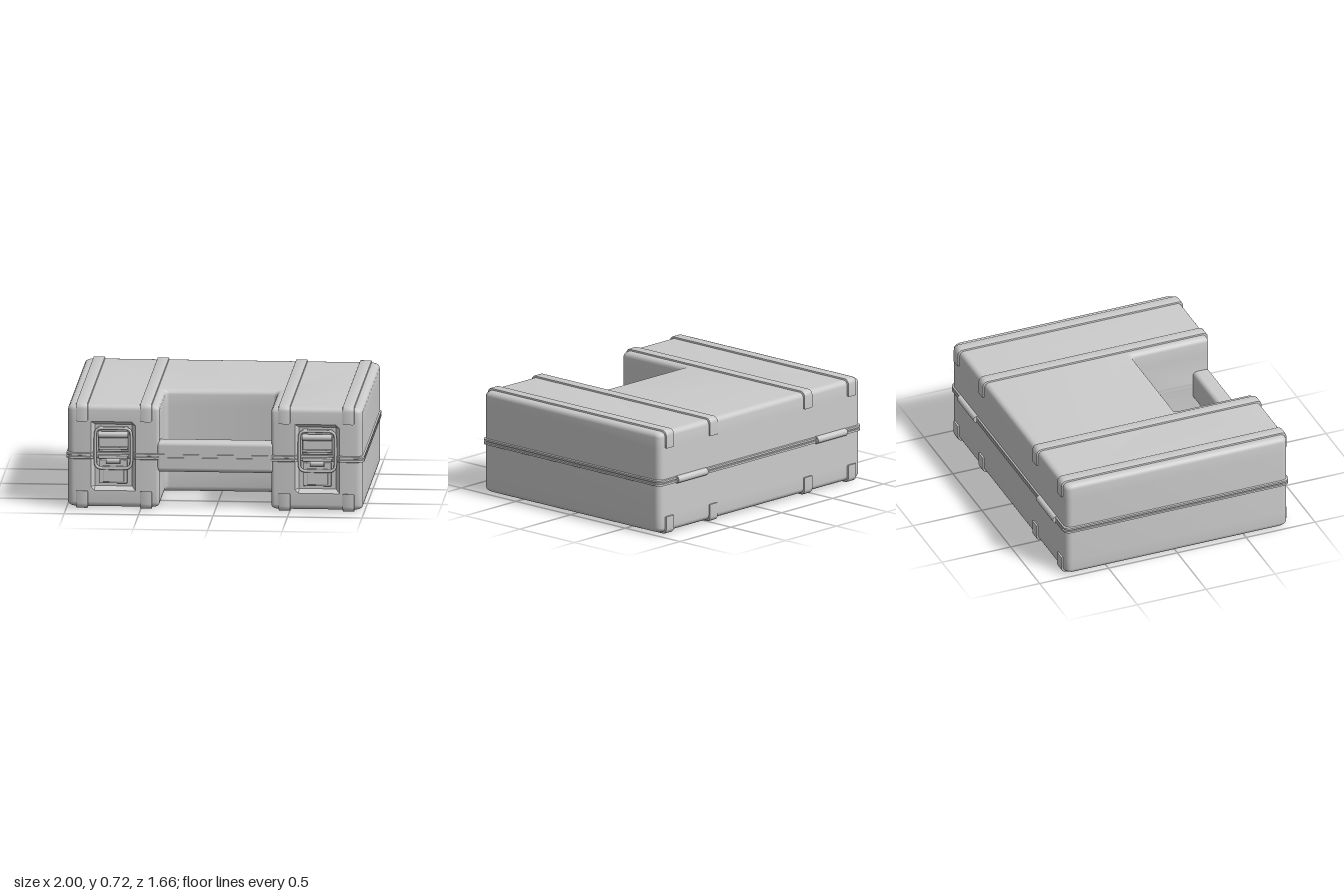
import * as THREE from 'three';
import { toCreasedNormals } from 'three/addons/utils/BufferGeometryUtils.js';
import { RoundedBoxGeometry } from 'three/addons/geometries/RoundedBoxGeometry.js';

const H = 0.72, FRONT = 0.81, BACK = -0.803, SIDE = 0.99, NOTCH = 0.375, NOTCH_BACK = 0.245;
const LATCH_X = 0.685, FLOOR_Z = 0.77;
const grey = new THREE.MeshStandardMaterial({ color: 0xcccccc });

function add(parent, name, geometry, x = 0, y = 0, z = 0) {
  const mesh = new THREE.Mesh(geometry, grey);
  mesh.name = name;
  mesh.position.set(x, y, z);
  parent.add(mesh);
  return mesh;
}

function arc(cx, cz, r, from, to, n = 5) {
  const pts = [];
  for (let i = 0; i <= n; i++) {
    const a = THREE.MathUtils.degToRad(from + (to - from) * i / n);
    pts.push([cx + r * Math.cos(a), cz + r * Math.sin(a)]);
  }
  return pts;
}

// U-shaped plan outline (x, z), pulled in by d, with latch recesses of the given depth
function plan(d, recess) {
  const r = 0.045, q = 0.025;
  const R = SIDE - d, F = FRONT - d, B = BACK + d;
  const N = NOTCH + Math.max(d, 0), NB = NOTCH_BACK - Math.max(d, 0);
  const half = [
    ...arc(R - r, B + r, r, -90, 0),
    ...arc(R - r, F - r, r, 0, 90),
    [0.835, F], [0.81, F - recess], [0.56, F - recess], [0.535, F],
    ...arc(N + q, F - q, q, 90, 180),
    ...arc(N - q, NB + q, q, 0, -90),
  ];
  return [...half, ...half.map(([x, z]) => [-x, z]).reverse()];
}

// Skin through the plan outlines at rising heights, closed at both ends
function loft(levels) {
  const rings = levels.map(([y, d, recess]) => plan(d, recess).map(([x, z]) => [x, y, z]));
  const n = rings[0].length, index = [];
  for (let l = 0; l < rings.length - 1; l++) {
    for (let i = 0; i < n; i++) {
      const j = (i + 1) % n, a = l * n + i, b = l * n + j;
      index.push(a, a + n, b + n, a, b + n, b);
    }
  }
  for (const [l, up] of [[0, false], [rings.length - 1, true]]) {
    const flat = rings[l].map(p => new THREE.Vector2(p[0], p[2]));
    for (const [a, b, c] of THREE.ShapeUtils.triangulateShape(flat, [])) {
      const area = THREE.ShapeUtils.area([flat[a], flat[b], flat[c]]);
      const tri = (area < 0) === up ? [a, b, c] : [a, c, b];
      index.push(...tri.map(i => i + l * n));
    }
  }
  const geo = new THREE.BufferGeometry();
  geo.setAttribute('position', new THREE.Float32BufferAttribute(rings.flat(2), 3));
  geo.setIndex(index);
  return toCreasedNormals(geo, 0.6);
}

// Lower half levels: rounded edge, latch recess, raised lip at the seam
function shellLevels() {
  const levels = [], r = 0.035, depth = FRONT - FLOOR_Z;
  for (let k = 0; k <= 5; k++) {
    const t = k / 5 * Math.PI / 2;
    levels.push([0.012 + r * (1 - Math.cos(t)), r * (1 - Math.sin(t)), 0]);
  }
  levels.push([0.125, 0, 0], [0.15, 0, depth], [0.338, 0, depth], [0.342, -0.01, depth],
    [0.355, -0.01, depth], [0.357, -0.002, depth], [0.36, -0.002, depth]);
  return levels;
}

// Rib running over the case and gripping the front and back edges
function ribGeometry(width, top) {
  const b = 0.008, r = 0.03, z0 = BACK - 0.012 + b, z1 = FRONT + 0.012 - b;
  const pts = [[z0, 0.115], ...arc(z0 + r, b + r, r, 180, 270), ...arc(z1 - r, b + r, r, 270, 360), [z1, 0.115]];
  const shape = new THREE.Shape(pts.map(([z, y]) => new THREE.Vector2(z, top ? H - y : y)));
  const geo = new THREE.ExtrudeGeometry(shape, {
    depth: width - 2 * b, bevelEnabled: true, bevelSize: b, bevelThickness: b, bevelSegments: 2,
  });
  geo.translate(0, 0, -width / 2 + b);
  geo.rotateY(-Math.PI / 2);
  return toCreasedNormals(geo, 0.6);
}

function rod(radius, length) {
  return new THREE.CylinderGeometry(radius, radius, length, 20).rotateZ(Math.PI / 2);
}

function createLatch() {
  const latch = new THREE.Group();
  latch.name = 'latch';
  add(latch, 'lowerPlate', new RoundedBoxGeometry(0.19, 0.16, 0.03, 2, 0.006), 0, 0.25, 0.775);
  add(latch, 'lowerPanel', new RoundedBoxGeometry(0.14, 0.11, 0.012, 2, 0.004), 0, 0.235, 0.79);
  add(latch, 'leverShelf', new RoundedBoxGeometry(0.2, 0.025, 0.045, 2, 0.006), 0, 0.352, 0.79);
  add(latch, 'leverRod', rod(0.02, 0.095), 0, 0.328, 0.802);
  add(latch, 'upperPlate', new RoundedBoxGeometry(0.2, 0.17, 0.025, 2, 0.006), 0, 0.47, 0.775);
  add(latch, 'hookRod', rod(0.022, 0.2), 0, 0.505, 0.802);
  add(latch, 'hookLip', new RoundedBoxGeometry(0.2, 0.018, 0.04, 2, 0.005), 0, 0.412, 0.788);
  // Wire bail: rounded rectangular loop
  const w = 0.12, y0 = 0.275, y1 = 0.545, r = 0.035;
  const pts = [
    ...arc(w - r, y1 - r, r, 90, 0, 4), ...arc(w - r, y0 + r, r, 0, -90, 4),
    ...arc(r - w, y0 + r, r, -90, -180, 4), ...arc(r - w, y1 - r, r, 180, 90, 4),
  ].map(([x, y]) => new THREE.Vector3(x, y, 0));
  const loop = new THREE.CatmullRomCurve3(pts, true);
  add(latch, 'bail', new THREE.TubeGeometry(loop, 80, 0.01, 8, true), 0, 0, 0.795);
  return latch;
}

export function createModel() {
  const model = new THREE.Group();
  model.name = 'carryingCase';

  // Two shells meeting at the seam
  const levels = shellLevels();
  add(model, 'lowerShell', loft(levels));
  add(model, 'upperShell', loft(levels.map(([y, d, rec]) => [H - y, d, rec]).reverse()));

  // Carrying handle across the notch
  add(model, 'handle', new RoundedBoxGeometry(0.8, 0.21, 0.12, 4, 0.03), 0, 0.36, FRONT - 0.06);
  for (const y of [0.349, 0.371]) {
    add(model, 'handleSeam', new THREE.BoxGeometry(0.82, 0.014, 0.03), 0, y, FRONT - 0.007);
  }

  // Ribs, latches and hinges on both sides
  for (const s of [1, -1]) {
    for (const top of [true, false]) {
      add(model, 'outerRib', ribGeometry(0.08, top), s * 0.895);
      add(model, 'innerRib', ribGeometry(0.08, top), s * 0.465);
    }
    const latch = createLatch();
    latch.position.x = s * LATCH_X;
    model.add(latch);
    add(model, 'hinge', rod(0.025, 0.29), s * LATCH_X, 0.36, -0.808);
  }
  return model;
}
